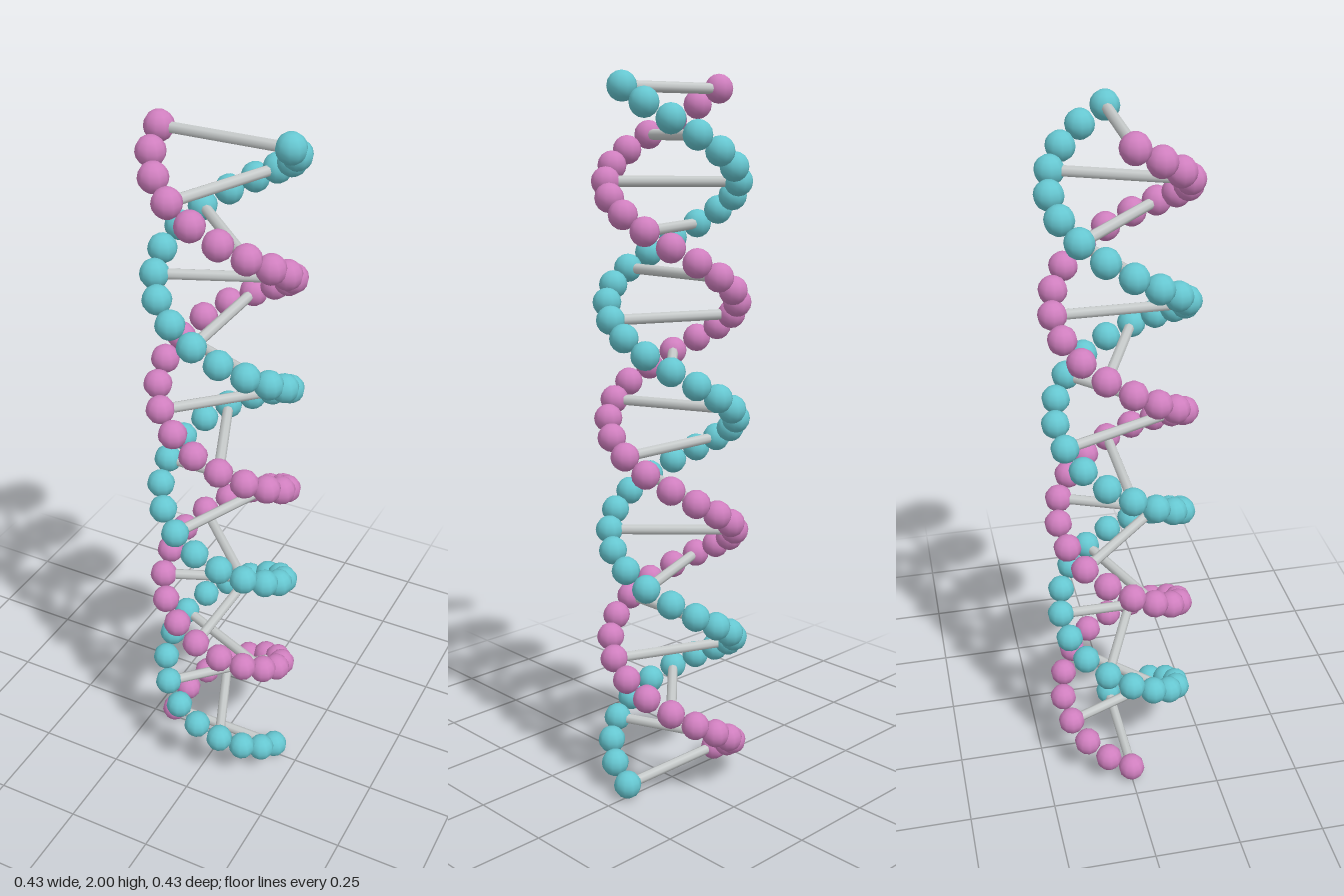
import * as THREE from 'three';

const STEPS = 48;          // three full turns, 16 beads per turn
const RADIUS = 0.176;      // helix radius
const BEAD = 0.0392;       // bead radius
const RISE = (2 - 2 * BEAD) / STEPS;

// Point on a strand; phase selects which of the two strands
function helixPoint(i, phase) {
  const a = (i / 16) * Math.PI * 2 + phase;
  return new THREE.Vector3(RADIUS * Math.cos(a), BEAD + i * RISE, RADIUS * Math.sin(a));
}

export function createModel() {
  const model = new THREE.Group();
  model.name = 'doubleHelix';

  const teal = new THREE.MeshStandardMaterial({ color: 0x66c7d1 });
  teal.name = 'teal';
  const pink = new THREE.MeshStandardMaterial({ color: 0xd07fbf });
  pink.name = 'pink';
  const grey = new THREE.MeshStandardMaterial({ color: 0xc8cccc });
  grey.name = 'light grey';

  // Two opposite strands of beads
  const beadGeometry = new THREE.SphereGeometry(BEAD, 10, 8);
  function strand(name, phase, material) {
    const group = new THREE.Group();
    group.name = name;
    for (let i = 0; i <= STEPS; i++) {
      const bead = new THREE.Mesh(beadGeometry, material);
      bead.name = 'bead';
      bead.position.copy(helixPoint(i, phase));
      group.add(bead);
    }
    model.add(group);
  }
  strand('tealStrand', 0, teal);
  strand('pinkStrand', Math.PI, pink);

  // A rung joins the strands at every third bead
  const rungGeometry = new THREE.CylinderGeometry(0.0145, 0.0145, RADIUS * 2, 8);
  rungGeometry.rotateZ(Math.PI / 2);
  const rungs = new THREE.Group();
  rungs.name = 'rungs';
  for (let i = 0; i <= STEPS; i += 3) {
    const rung = new THREE.Mesh(rungGeometry, grey);
    rung.name = 'rung';
    rung.position.y = BEAD + i * RISE;
    rung.rotation.y = -(i / 16) * Math.PI * 2;
    rungs.add(rung);
  }
  model.add(rungs);

  return model;
}
